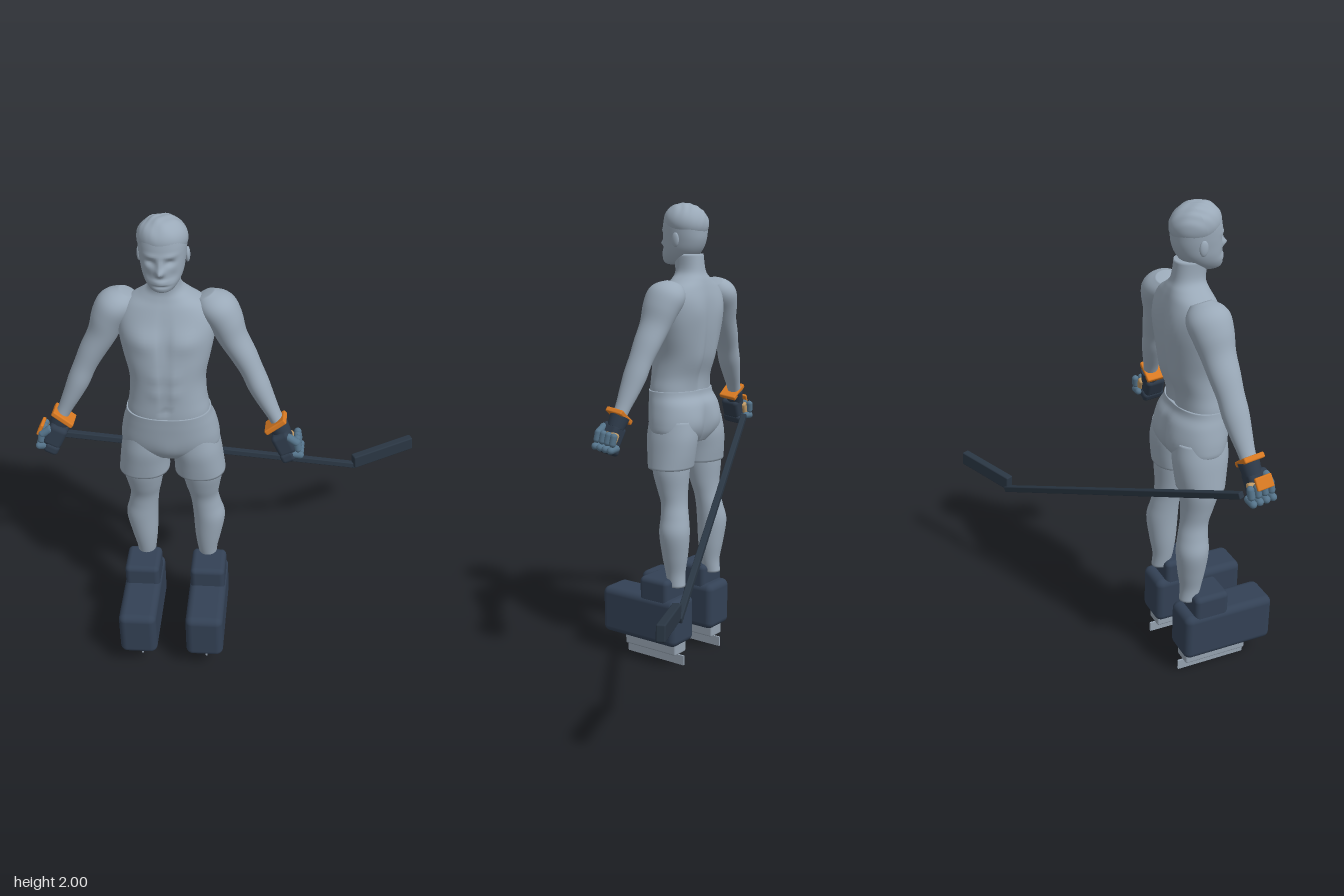
import * as THREE from 'three';
import { RoundedBoxGeometry } from 'three/addons/geometries/RoundedBoxGeometry.js';

const mat = (name, color) => Object.assign(new THREE.MeshStandardMaterial({ color }), { name });

// Smooth closed skin through rows of [y, centreX, halfWidth, zFront, zBack], listed upwards
function loft(rows, { seg = 40, steps = 5, power = 2 } = {}) {
  const pos = [], index = [], n = rows.length;
  const row = i => rows[Math.min(n - 1, Math.max(0, i))];
  const rings = (n - 1) * steps + 1;
  const squash = v => Math.sign(v) * Math.abs(v) ** (2 / power);
  const centres = [];
  for (let r = 0; r < rings; r++) {
    const i = Math.min(n - 2, Math.floor(r / steps)), t = r / steps - i;
    const [y, cx, w, f, b] = row(i).map((p1, k) => {
      const p0 = row(i - 1)[k], p2 = row(i + 1)[k], p3 = row(i + 2)[k];
      return p1 + 0.5 * t * (p2 - p0 + t * (2 * p0 - 5 * p1 + 4 * p2 - p3 + t * (3 * (p1 - p2) + p3 - p0)));
    });
    const cz = (f + b) / 2;
    centres.push([cx, y, cz]);
    for (let j = 0; j < seg; j++) {
      const a = (j / seg) * Math.PI * 2;
      pos.push(cx + w * squash(Math.cos(a)), y, cz + ((f - b) / 2) * squash(Math.sin(a)));
    }
  }
  for (let r = 0; r < rings - 1; r++) for (let j = 0; j < seg; j++) {
    const a = r * seg + j, b = r * seg + (j + 1) % seg;
    index.push(a, a + seg, b, b, a + seg, b + seg);
  }
  const bottom = pos.length / 3, top = bottom + 1, last = (rings - 1) * seg;
  pos.push(...centres[0], ...centres[rings - 1]);
  for (let j = 0; j < seg; j++) {
    const k = (j + 1) % seg;
    index.push(bottom, j, k, top, last + k, last + j);
  }
  const g = new THREE.BufferGeometry();
  g.setAttribute('position', new THREE.Float32BufferAttribute(pos, 3));
  g.setIndex(index);
  g.computeVertexNormals();
  return g;
}

// Push soft mirrored bumps [x, y, radiusX, radiusY, amount, side] along z; side 1 is the front
function sculpt(g, midZ, bumps) {
  const p = g.attributes.position;
  for (let i = 0; i < p.count; i++) {
    const x = Math.abs(p.getX(i)), y = p.getY(i), z = p.getZ(i);
    let dz = 0;
    for (const [bx, by, rx, ry, amount, side] of bumps) {
      const w = Math.min(1, Math.max(0, (z - midZ) * side / 0.05));
      dz += side * amount * w * Math.exp(-(((x - bx) / rx) ** 2) - ((y - by) / ry) ** 2);
    }
    p.setZ(i, z + dz);
  }
  g.computeVertexNormals();
  return g;
}

export function createModel() {
  const M = {
    body: mat('body grey', 0x9aa9b8), boot: mat('boot navy', 0x334155),
    stick: mat('stick dark', 0x2a3643), glove: mat('glove navy', 0x2e3b4b),
    finger: mat('finger blue', 0x55748b), cuff: mat('cuff orange', 0xd97a22),
    palm: mat('palm tan', 0xc09a66), steel: mat('blade grey', 0x95a2b0),
  };
  const model = new THREE.Group();
  const add = (parent, name, geo, material, x = 0, y = 0, z = 0) => {
    const m = new THREE.Mesh(geo, material);
    m.name = name;
    m.position.set(x, y, z);
    parent.add(m);
    return m;
  };
  const figure = new THREE.Group();
  figure.name = 'figure';
  figure.position.x = -0.26;
  model.add(figure);

  // Torso and neck
  add(figure, 'torso', sculpt(loft([
    [1.17, 0, .158, .305, .095], [1.22, 0, .158, .308, .098], [1.28, 0, .148, .307, .09],
    [1.36, 0, .146, .305, .06], [1.45, 0, .165, .298, .045], [1.53, 0, .18, .28, .042],
    [1.6, 0, .18, .255, .047], [1.65, 0, .15, .235, .058], [1.685, 0, .095, .22, .07],
    [1.72, 0, .06, .213, .085], [1.79, 0, .056, .225, .095],
  ], { seg: 56, power: 2.25 }), .17, [
    [.08, 1.54, .06, .045, .014, 1], [0, 1.53, .014, .09, -.01, 1], [0, 1.33, .01, .1, -.006, 1],
    [.035, 1.4, .025, .025, .005, 1], [.035, 1.33, .025, .025, .005, 1], [0, 1.25, .012, .012, -.008, 1],
    [.085, 1.56, .05, .07, .008, -1], [0, 1.4, .022, .2, -.016, -1], [.05, 1.3, .03, .09, .008, -1],
  ]), M.body);

  // Head
  add(figure, 'head', sculpt(loft([
    [1.745, 0, .025, .262, .2], [1.755, 0, .045, .278, .16], [1.78, 0, .064, .283, .125],
    [1.81, 0, .076, .279, .1], [1.845, 0, .082, .277, .085], [1.88, 0, .086, .274, .08],
    [1.92, 0, .087, .27, .08], [1.955, 0, .078, .26, .092], [1.98, 0, .05, .235, .12],
  ], { seg: 72, steps: 7, power: 2.15 }), .18, [
    [0, 1.832, .014, .014, .022, 1], [0, 1.855, .01, .026, .012, 1], [.034, 1.865, .017, .012, -.012, 1],
    [.034, 1.89, .028, .009, .005, 1], [0, 1.797, .026, .006, .006, 1], [0, 1.787, .022, .006, .005, 1],
    [0, 1.777, .03, .005, -.005, 1], [.045, 1.815, .016, .02, -.005, 1],
  ]), M.body);

  // Swept wavy hair
  const hair = new THREE.SphereGeometry(1, 48, 32);
  const hp = hair.attributes.position;
  for (let i = 0; i < hp.count; i++) {
    const x = hp.getX(i), y = hp.getY(i), z = hp.getZ(i);
    const k = 1 + .025 * Math.sin(11 * x + 5 * z + 4 * y) * Math.sin(9 * z + 3 * x) * Math.max(0, y + .3);
    hp.setXYZ(i, x * .092 * k, y * .078 * k, z * .099 * k);
  }
  hair.computeVertexNormals();
  add(figure, 'hair', hair, M.body, 0, 1.921, .171).rotation.x = -.3;

  // Shorts seat
  add(figure, 'shortsSeat', sculpt(loft([
    [.99, 0, .12, .255, .09], [1.03, 0, .187, .282, .066], [1.08, 0, .193, .298, .058],
    [1.15, 0, .18, .306, .066], [1.19, 0, .168, .309, .088], [1.215, 0, .163, .311, .093],
  ], { seg: 56, power: 2.3 }), .17, [
    [.085, 1.08, .06, .06, .01, -1], [0, 1.06, .016, .09, -.018, -1], [0, 1.04, .04, .05, .006, 1],
  ]), M.body);

  for (const s of [1, -1]) {
    const side = s > 0 ? 'left' : 'right';
    const flip = rows => rows.map(([y, c, ...rest]) => [y, c * s, ...rest]);

    // Shorts leg and bare leg
    add(figure, side + 'ShortsLeg', loft(flip([
      [.885, .113, .102, .265, .077], [.95, .108, .099, .275, .066],
      [1.02, .1, .097, .284, .06], [1.09, .095, .085, .28, .068],
    ]), { power: 2.2 }), M.body);
    add(figure, side + 'Leg', loft(flip([
      [.36, .135, .036, .165, .085], [.42, .132, .042, .178, .088], [.5, .136, .055, .19, .075],
      [.6, .142, .066, .198, .064], [.67, .132, .061, .198, .075], [.73, .123, .06, .203, .088],
      [.79, .12, .07, .222, .09], [.87, .12, .083, .243, .085], [.95, .115, .085, .25, .085],
    ])), M.body);

    // Ear
    add(figure, side + 'Ear', new THREE.SphereGeometry(1, 16, 12), M.body, s * .087, 1.85, .165)
      .scale.set(.009, .03, .018);

    // Arm, built upright from wrist to shoulder and tilted as a whole
    const arm = new THREE.Group();
    arm.name = side + 'Arm';
    arm.position.set(s * .42, 1.155, .2);
    arm.quaternion.setFromUnitVectors(new THREE.Vector3(0, 1, 0),
      new THREE.Vector3(-s * .225, .445, -.06).normalize());
    figure.add(arm);
    add(arm, side + 'ArmSkin', loft(flip([
      [-.03, 0, .026, .03, -.03], [.03, 0, .028, .034, -.034], [.1, 0, .036, .044, -.044],
      [.17, .002, .043, .052, -.052], [.24, .006, .044, .053, -.053], [.31, .006, .05, .06, -.06],
      [.39, .002, .056, .068, -.066], [.46, .008, .066, .08, -.078], [.52, .004, .072, .086, -.084],
      [.56, -.005, .062, .072, -.07], [.59, -.015, .035, .04, -.04],
    ])), M.body);

    // Glove: flared cuff, padded back, curled fingers and thumb
    add(arm, side + 'Cuff', new RoundedBoxGeometry(.095, .022, .085, 2, .006), M.cuff, -s * .008, -.005, .008)
      .rotation.z = s * .2;
    add(arm, side + 'CuffBase', new THREE.CylinderGeometry(.042, .036, .05, 16), M.glove, -s * .005, -.032, 0);
    add(arm, side + 'GloveBack', new RoundedBoxGeometry(.075, .095, .085, 3, .018), M.glove, -s * .012, -.09, .012);
    add(arm, side + 'GloveKnuckles', new RoundedBoxGeometry(.06, .045, .095, 3, .016), M.glove, -s * .02, -.145, .01);
    add(arm, side + 'Palm', new RoundedBoxGeometry(.03, .06, .06, 2, .01), M.palm, s * .012, -.11, -.012);
    for (let i = 0; i < 4; i++) {
      const z = -.045 + i * .028;
      add(arm, side + 'FingerBase', new THREE.CapsuleGeometry(.015, .035, 5, 12), M.finger, s * .012, -.148, z)
        .rotation.z = s * 1;
      add(arm, side + 'FingerTip', new THREE.CapsuleGeometry(.0145, .03, 5, 12), M.finger, s * .035, -.115, z)
        .rotation.z = -s * .3;
    }
    add(arm, side + 'Thumb', new THREE.CapsuleGeometry(.016, .035, 5, 12), M.finger, s * .028, -.085, .04)
      .rotation.z = s * .5;
    if (s < 0) add(arm, 'rightFingerGuard', new RoundedBoxGeometry(.014, .05, .07, 2, .005), M.cuff, s * .052, -.09, .01);

    // Skate: boot, ankle, blade holder and runner
    const skate = new THREE.Group();
    skate.name = side + 'Skate';
    skate.position.x = s * .14;
    figure.add(skate);
    add(skate, 'boot', new RoundedBoxGeometry(.157, .212, .405, 4, .03), M.boot, 0, .203, .282);
    add(skate, 'ankleCollar', new RoundedBoxGeometry(.146, .17, .153, 4, .022), M.boot, 0, .31, .199);
    add(skate, 'bladeHolder', new RoundedBoxGeometry(.082, .055, .28, 2, .008), M.steel, 0, .077, .24);
    add(skate, 'runner', new THREE.BoxGeometry(.008, .044, .31), M.steel, 0, .022, .237);
  }

  // Stick: long shaft and a short angled blade
  const beam = (name, a, b, height, depth, radius) => {
    const from = new THREE.Vector3(...a), to = new THREE.Vector3(...b);
    const dx = to.clone().sub(from), length = dx.length();
    dx.normalize();
    const dz = dx.clone().cross(new THREE.Vector3(0, 1, 0)).normalize();
    const dy = dz.clone().cross(dx);
    const m = add(model, name, new RoundedBoxGeometry(length, height, depth, 2, radius), M.stick);
    m.position.copy(from).add(to).multiplyScalar(.5);
    m.quaternion.setFromRotationMatrix(new THREE.Matrix4().makeBasis(dx, dy, dz));
  };
  beam('stickShaft', [-.71, 1.027, .163], [.515, .498, -.357], .026, .026, .004);
  beam('stickBlade', [.505, .529, -.342], [.775, .556, -.472], .064, .035, .006);

  return model;
}
